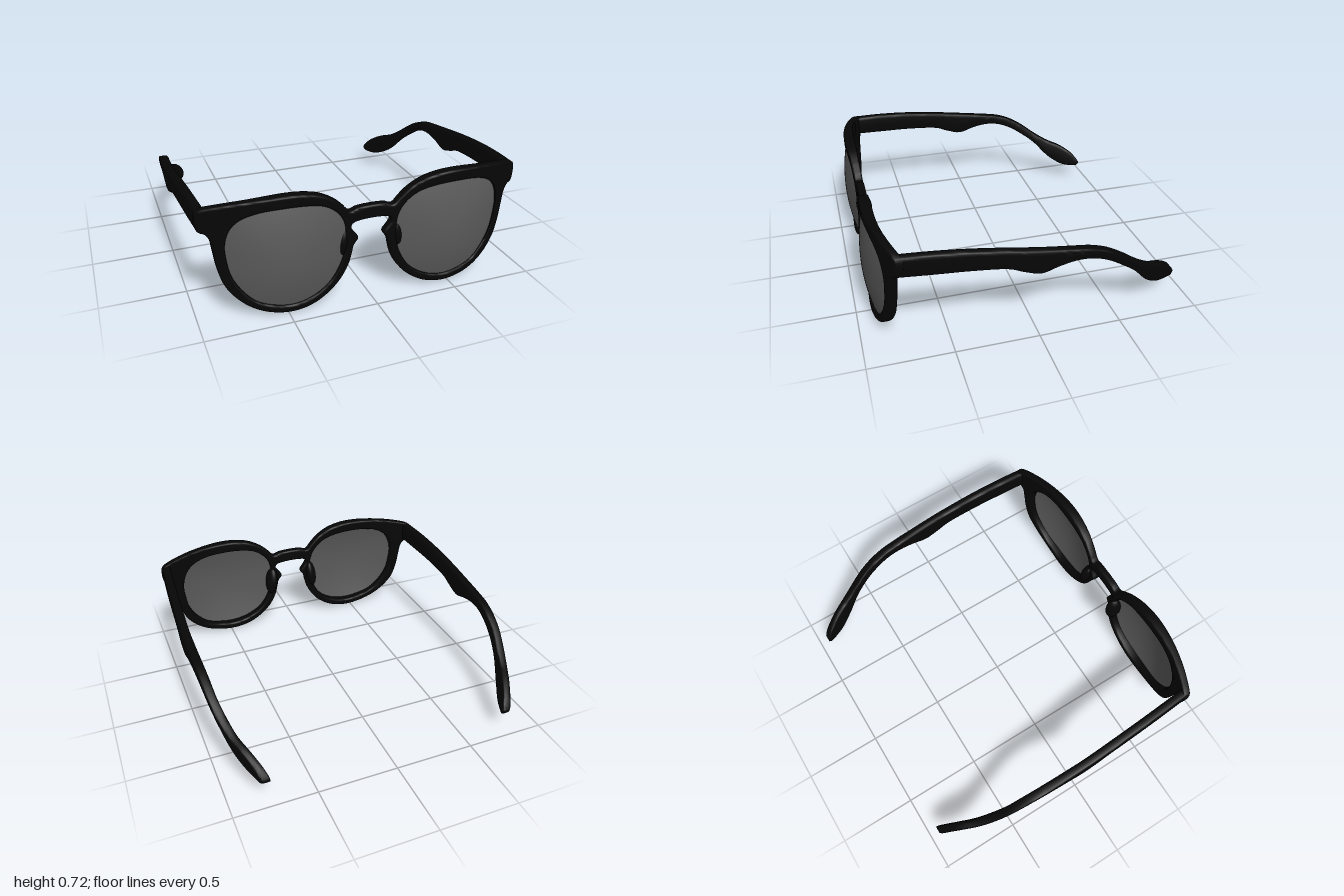
import * as THREE from 'three';
import { toCreasedNormals } from 'three/addons/utils/BufferGeometryUtils.js';

const frameMat = new THREE.MeshStandardMaterial({ color: 0x060606 });
frameMat.name = 'black frame';
const lensMat = new THREE.MeshStandardMaterial({ color: 0x5a5a5a, side: THREE.DoubleSide });
lensMat.name = 'smoked lens';

// Half of the frame outline, from the top of the bridge round to its underside
const OUTLINE = [
  [0.08, 0.574], [0.13, 0.56], [0.17, 0.6], [0.22, 0.645], [0.3, 0.69], [0.4, 0.715], [0.52, 0.722],
  [0.7, 0.71], [0.85, 0.69], [0.945, 0.667], [0.965, 0.65], [0.965, 0.56], [0.95, 0.538], [0.925, 0.53],
  [0.902, 0.5], [0.887, 0.42], [0.872, 0.32], [0.84, 0.215], [0.78, 0.13], [0.7, 0.065], [0.6, 0.022],
  [0.47, 0.004], [0.35, 0.025], [0.25, 0.08], [0.18, 0.15], [0.135, 0.23], [0.115, 0.3], [0.105, 0.345],
  [0.078, 0.39], [0.105, 0.43], [0.122, 0.46], [0.115, 0.482], [0.07, 0.495],
];
// Lens opening on the +x side
const OPENING = [
  [0.153, 0.41], [0.165, 0.5], [0.21, 0.57], [0.28, 0.62], [0.38, 0.645], [0.52, 0.652], [0.66, 0.64],
  [0.75, 0.605], [0.8, 0.55], [0.826, 0.46], [0.82, 0.36], [0.8, 0.27], [0.75, 0.18], [0.67, 0.1],
  [0.56, 0.06], [0.46, 0.05], [0.35, 0.075], [0.25, 0.14], [0.19, 0.23], [0.16, 0.32],
];
// Temple sections: z, top y, bottom y, inner x, outer x
const TEMPLE = [
  [0.79, 0.665, 0.54, 0.905, 0.963], [0.6, 0.66, 0.531, 0.918, 0.976], [0.4, 0.645, 0.522, 0.929, 0.987],
  [0.2, 0.62, 0.502, 0.937, 0.995], [0.1, 0.605, 0.465, 0.94, 0.999], [0, 0.59, 0.437, 0.941, 1],
  [-0.1, 0.575, 0.465, 0.94, 0.999], [-0.2, 0.56, 0.484, 0.938, 0.997], [-0.3, 0.543, 0.477, 0.934, 0.993],
  [-0.4, 0.508, 0.44, 0.926, 0.985], [-0.5, 0.45, 0.376, 0.915, 0.972], [-0.6, 0.375, 0.298, 0.89, 0.949],
  [-0.7, 0.312, 0.19, 0.856, 0.914], [-0.8, 0.27, 0.124, 0.812, 0.87], [-0.88, 0.218, 0.11, 0.777, 0.834],
  [-0.92, 0.175, 0.114, 0.76, 0.817], [-0.938, 0.148, 0.13, 0.757, 0.803],
];

const { smoothstep } = THREE.MathUtils;
const smoothLoop = (pts, n) => new THREE.CatmullRomCurve3(
  pts.map(([x, y]) => new THREE.Vector3(x, y, 0)), true).getPoints(n).slice(0, -1);
const flip = (pts) => pts.map(([x, y]) => [-x, y]).reverse();

// Depth of the front face, wrapping back towards the temples
function faceZ(x) {
  const a = Math.abs(x);
  return 0.885 + 0.025 * smoothstep(a, 0.05, 0.45) - 0.43 * Math.max(0, a - 0.45) ** 2;
}
// The frame is thickest around the lenses
const thickness = (x) => 0.05 + 0.018 * Math.exp(-(((Math.abs(x) - 0.45) / 0.22) ** 2));

function indexed(pos, idx) {
  const g = new THREE.BufferGeometry();
  g.setAttribute('position', new THREE.Float32BufferAttribute(pos, 3));
  g.setIndex(idx);
  g.computeVertexNormals();
  return g;
}

// Mirror an indexed geometry across x, keeping its faces outward
function mirrored(geo) {
  const g = geo.clone().scale(-1, 1, 1);
  const idx = Array.from(g.index.array);
  for (let i = 0; i < idx.length; i += 3) [idx[i + 1], idx[i + 2]] = [idx[i + 2], idx[i + 1]];
  g.setIndex(idx);
  return g;
}

// Halve long edges so that flat faces can bend smoothly
function subdivided(geo, maxLength) {
  const p = geo.attributes.position, stack = [], pos = [];
  const vertex = (i) => new THREE.Vector3().fromBufferAttribute(p, i);
  for (let i = 0; i < p.count; i += 3) stack.push([vertex(i), vertex(i + 1), vertex(i + 2)]);
  while (stack.length) {
    const t = stack.pop();
    const len = t.map((v, i) => v.distanceTo(t[(i + 1) % 3]));
    const k = len.indexOf(Math.max(...len));
    if (len[k] <= maxLength) {
      for (const v of t) pos.push(v.x, v.y, v.z);
      continue;
    }
    const a = t[k], b = t[(k + 1) % 3], c = t[(k + 2) % 3];
    const m = a.clone().add(b).multiplyScalar(0.5);
    stack.push([a, m, c], [m, b, c]);
  }
  const g = new THREE.BufferGeometry();
  g.setAttribute('position', new THREE.Float32BufferAttribute(pos, 3));
  return g;
}

function frameGeometry() {
  const shape = new THREE.Shape(smoothLoop([...OUTLINE, ...flip(OUTLINE)], 260));
  for (const hole of [OPENING, flip(OPENING)]) shape.holes.push(new THREE.Path(smoothLoop(hole, 90).reverse()));
  const bevel = 0.012, depth = 0.064;
  const g = subdivided(new THREE.ExtrudeGeometry(shape, {
    depth: depth - 2 * bevel, bevelThickness: bevel, bevelSize: bevel, bevelOffset: -bevel, bevelSegments: 3,
  }), 0.05);
  const p = g.attributes.position;
  for (let i = 0; i < p.count; i++) {
    const x = p.getX(i), fromFront = 1 - (p.getZ(i) + bevel) / depth;
    p.setZ(i, faceZ(x) - fromFront * thickness(x));
  }
  return toCreasedNormals(g, 0.7);
}

// Domed lens made of rings growing from the centre to just inside the rim
function lensGeometry() {
  const rim = smoothLoop(OPENING, 90).reverse(), n = rim.length, rings = 10;
  const cx = 0.49, cy = 0.35, pos = [], idx = [];
  for (let k = 0; k <= rings; k++) {
    const r = k / rings;
    for (const q of rim) {
      const x = cx + (q.x - cx) * r * 1.03, y = cy + (q.y - cy) * r * 1.03;
      pos.push(x, y, faceZ(x) - 0.016 + 0.042 * (1 - r * r));
    }
  }
  for (let k = 0; k < rings; k++) for (let j = 0; j < n; j++) {
    const a = k * n + j, b = k * n + (j + 1) % n;
    if (k > 0) idx.push(a, b + n, b);
    idx.push(a, a + n, b + n);
  }
  return indexed(pos, idx);
}

// Temple swept through rounded rectangular sections, its tail leaning inward
function templeGeometry() {
  const curve = (f) => new THREE.CatmullRomCurve3(TEMPLE.map(f), false, 'catmullrom', 0.5);
  const heights = curve((s) => new THREE.Vector3(s[0], s[1], s[2]));
  const widths = curve((s) => new THREE.Vector3(s[0], s[3], s[4]));
  const steps = 64, n = 20, pos = [], idx = [];
  const soft = (v) => Math.sign(v) * Math.abs(v) ** 0.4;
  const centres = [];
  for (let i = 0; i <= steps; i++) {
    const h = heights.getPoint(i / steps), w = widths.getPoint(i / steps);
    const cx = (w.y + w.z) / 2, cy = (h.y + h.z) / 2, lean = 0.15 * smoothstep(-h.x, 0.2, 0.6);
    centres.push([cx, cy, h.x]);
    for (let j = 0; j < n; j++) {
      const a = (j / n) * Math.PI * 2, dy = soft(Math.sin(a)) * (h.y - h.z) / 2;
      pos.push(cx + soft(Math.cos(a)) * (w.z - w.y) / 2 + lean * dy, cy + dy, h.x);
    }
  }
  const front = pos.length / 3, last = steps * n;
  pos.push(...centres[0], ...centres[steps]);
  for (let j = 0; j < n; j++) {
    const j1 = (j + 1) % n;
    for (let i = 0; i < steps; i++) {
      const a = i * n + j, b = i * n + j1;
      idx.push(a, a + n, b, b, a + n, b + n);
    }
    idx.push(front, j, j1, front + 1, last + j1, last + j);
  }
  return indexed(pos, idx);
}

export function createModel() {
  const model = new THREE.Group();
  model.name = 'sunglasses';
  const add = (name, geo, mat) => {
    const m = new THREE.Mesh(geo, mat);
    m.name = name;
    model.add(m);
  };

  add('frontFrame', frameGeometry(), frameMat);

  // Nose pad: a flattened bead behind the inner rim
  const pad = new THREE.SphereGeometry(1, 24, 16).scale(0.036, 0.1, 0.052);
  pad.rotateZ(0.15).rotateY(0.4).translate(0.16, 0.355, 0.843);

  const lens = lensGeometry(), temple = templeGeometry();
  for (const [side, place] of [['left', (g) => g], ['right', mirrored]]) {
    add(side + 'Lens', place(lens), lensMat);
    add(side + 'Temple', toCreasedNormals(place(temple), 0.7), frameMat);
    add(side + 'NosePad', place(pad), frameMat);
  }
  return model;
}
